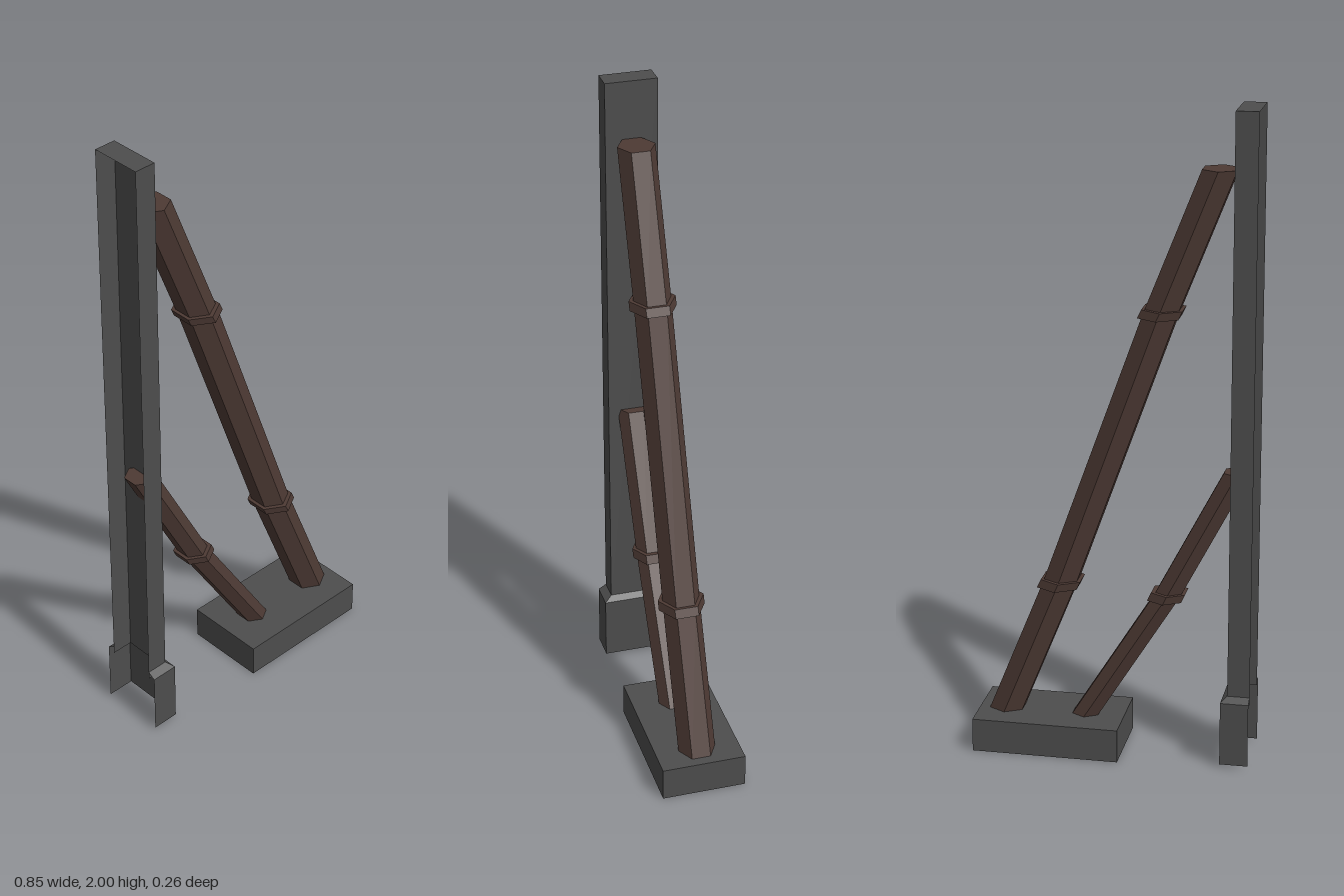
import * as THREE from 'three';

const metal = new THREE.MeshStandardMaterial({ color: 0x4d4d4d, flatShading: true, side: THREE.DoubleSide });
metal.name = 'dark grey';
const wood = new THREE.MeshStandardMaterial({ color: 0x4d3a34, flatShading: true, side: THREE.DoubleSide });
wood.name = 'dark brown';

// Outlines as [x, z], counter-clockwise seen from above
const HEX = [[0, 1], [1, 0.5], [1, -0.5], [0, -1], [-1, -0.5], [-1, 0.5]];
const RECT = [[-1, 1], [1, 1], [1, -1], [-1, -1]];

// Level cross-section: outline scaled by half sizes and moved to (x, y)
const section = (outline, x, y, hx, hz) =>
  outline.map(([px, pz]) => [x + px * hx, y, pz * hz]);

// Skin stacked sections from bottom to top, with optional open side and caps
function loft(name, material, sections, { closed = true, top = false, bottom = false } = {}) {
  const n = sections[0].length;
  const pos = [];
  const tri = (...p) => p.forEach((v) => pos.push(...v));
  for (let s = 0; s + 1 < sections.length; s++) {
    const [lo, hi] = [sections[s], sections[s + 1]];
    for (let i = 0; i < (closed ? n : n - 1); i++) {
      const j = (i + 1) % n;
      tri(lo[i], lo[j], hi[j]);
      tri(lo[i], hi[j], hi[i]);
    }
  }
  const first = sections[0], last = sections[sections.length - 1];
  for (let i = 1; i < n - 1; i++) {
    if (top) tri(last[0], last[i], last[i + 1]);
    if (bottom) tri(first[0], first[i + 1], first[i]);
  }
  const geo = new THREE.BufferGeometry();
  geo.setAttribute('position', new THREE.Float32BufferAttribute(pos, 3));
  geo.computeVertexNormals();
  const mesh = new THREE.Mesh(geo, material);
  mesh.name = name;
  return mesh;
}

// Bent hexagonal pole through [x, y] points, with a collar at each inner point
function brace(name, path, hx, hz, collarX, collarZ) {
  const group = new THREE.Group();
  group.name = name;
  group.add(loft(name + 'Pole', wood,
    path.map(([x, y]) => section(HEX, x, y, hx, hz)), { top: true, bottom: true }));
  path.slice(1, -1).forEach(([x, y]) => {
    group.add(loft(name + 'Collar', wood, [
      section(HEX, x + 0.006, y - 0.013, collarX, collarZ),
      section(HEX, x - 0.006, y + 0.013, collarX, collarZ),
    ], { top: true, bottom: true }));
  });
  return group;
}

export function createModel() {
  const model = new THREE.Group();
  model.name = 'bracedPost';

  // Upright channel, open on its outer side
  model.add(loft('post', metal, [
    section(RECT, -0.392, 0.2, 0.034, 0.08),
    section(RECT, -0.392, 2, 0.034, 0.08),
  ], { closed: false, top: true }));

  // Bracket around the foot of the post, open outside and below
  model.add(loft('postBracket', metal, [
    section(RECT, -0.383, 0.01, 0.043, 0.104),
    section(RECT, -0.383, 0.21, 0.043, 0.104),
    section(RECT, -0.392, 0.225, 0.034, 0.08),
  ], { closed: false }));

  // Hollow footing under the braces
  model.add(loft('footing', metal, [
    section(RECT, 0.197, 0, 0.226, 0.13),
    section(RECT, 0.197, 0.104, 0.226, 0.13),
  ], { top: true }));

  // Braces
  model.add(brace('longBrace',
    [[0.342, 0.1], [0.17, 0.528], [-0.137, 1.388], [-0.307, 1.82]], 0.051, 0.058, 0.061, 0.072));
  model.add(brace('shortBrace',
    [[0.1, 0.09], [-0.16, 0.508], [-0.37, 0.912]], 0.04, 0.048, 0.052, 0.06));

  return model;
}
